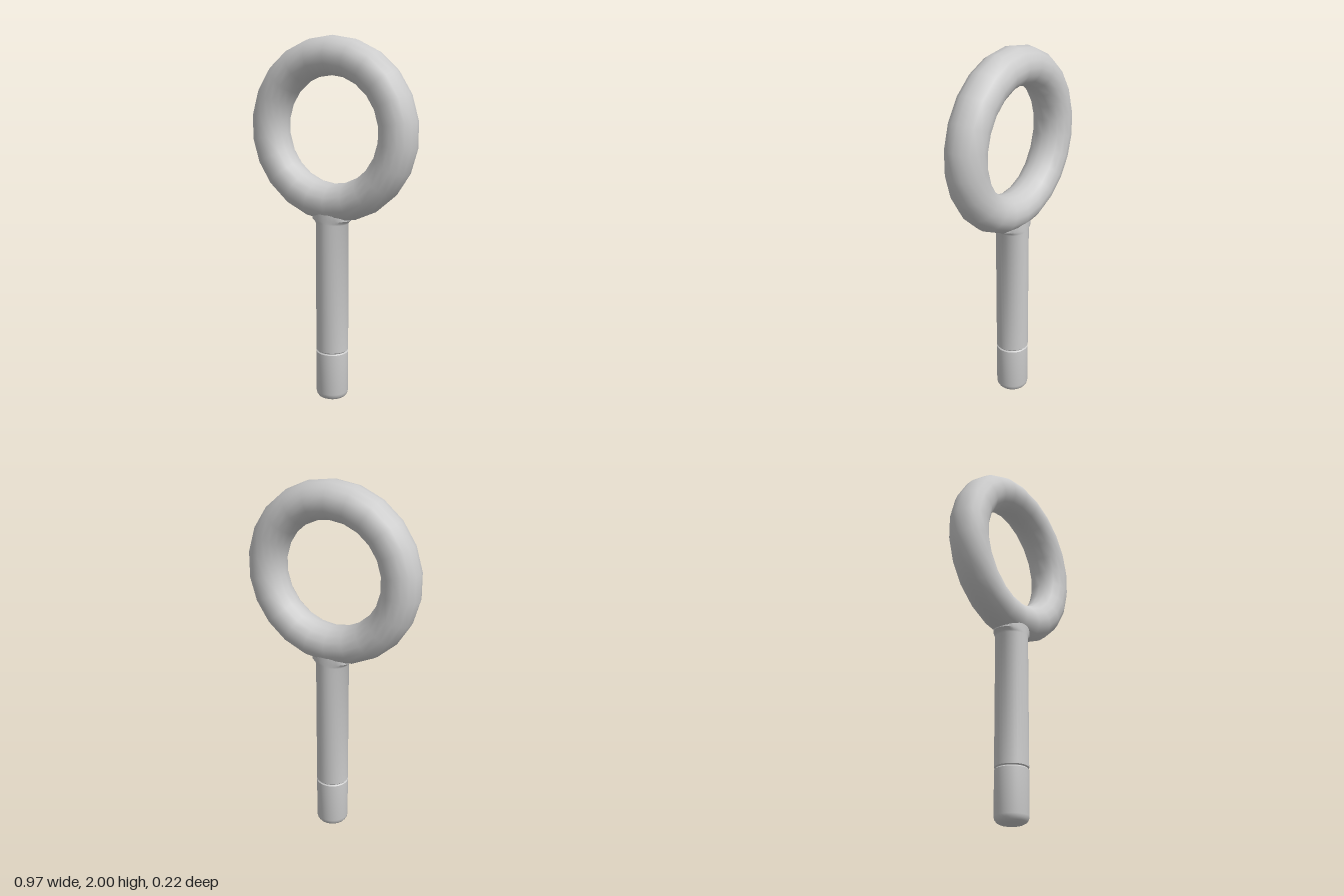
import * as THREE from 'three';
import { toCreasedNormals } from 'three/addons/utils/BufferGeometryUtils.js';

const PIN_RADIUS = 0.089;

// Turned part from [radius, height] points, listed from bottom to top
function turned(points) {
  return new THREE.LatheGeometry(points.map(([r, y]) => new THREE.Vector2(r, y)), 32);
}

export function createModel() {
  const model = new THREE.Group();
  const material = new THREE.MeshStandardMaterial({ color: 0xcccccc });
  const add = (name, geometry) => {
    const mesh = new THREE.Mesh(geometry, material);
    mesh.name = name;
    model.add(mesh);
  };

  // Pull ring: 22 segments with a corner at the top, slightly deeper than wide
  const ring = new THREE.TorusGeometry(0.387, 0.102, 16, 22);
  ring.rotateZ(Math.PI / 2).scale(1.005, 1, 1.06).translate(0, 1.511, 0);
  add('pullRing', ring);

  // Shaft, flaring sideways only where it blends into the ring
  const shaft = turned([
    [0.083, 0.286], [PIN_RADIUS, 0.292], [PIN_RADIUS, 1.012],
    [0.095, 1.022], [0.113, 1.035], [0.113, 1.07], [0, 1.12],
  ]);
  const p = shaft.attributes.position;
  for (let i = 0; i < p.count; i++) {
    const r = Math.hypot(p.getX(i), p.getZ(i));
    if (r > PIN_RADIUS) p.setZ(i, p.getZ(i) * PIN_RADIUS / r);
  }
  add('shaft', toCreasedNormals(shaft, 0.6));

  // Tip below the groove, with a rounded, slightly domed end
  const tip = turned([
    [0, 0], [0.035, 0.002], [0.06, 0.008], [0.077, 0.017], [0.086, 0.03],
    [PIN_RADIUS, 0.045], [PIN_RADIUS, 0.279], [0.083, 0.285], [0.083, 0.287],
  ]);
  add('tip', toCreasedNormals(tip, 0.6));

  return model;
}
